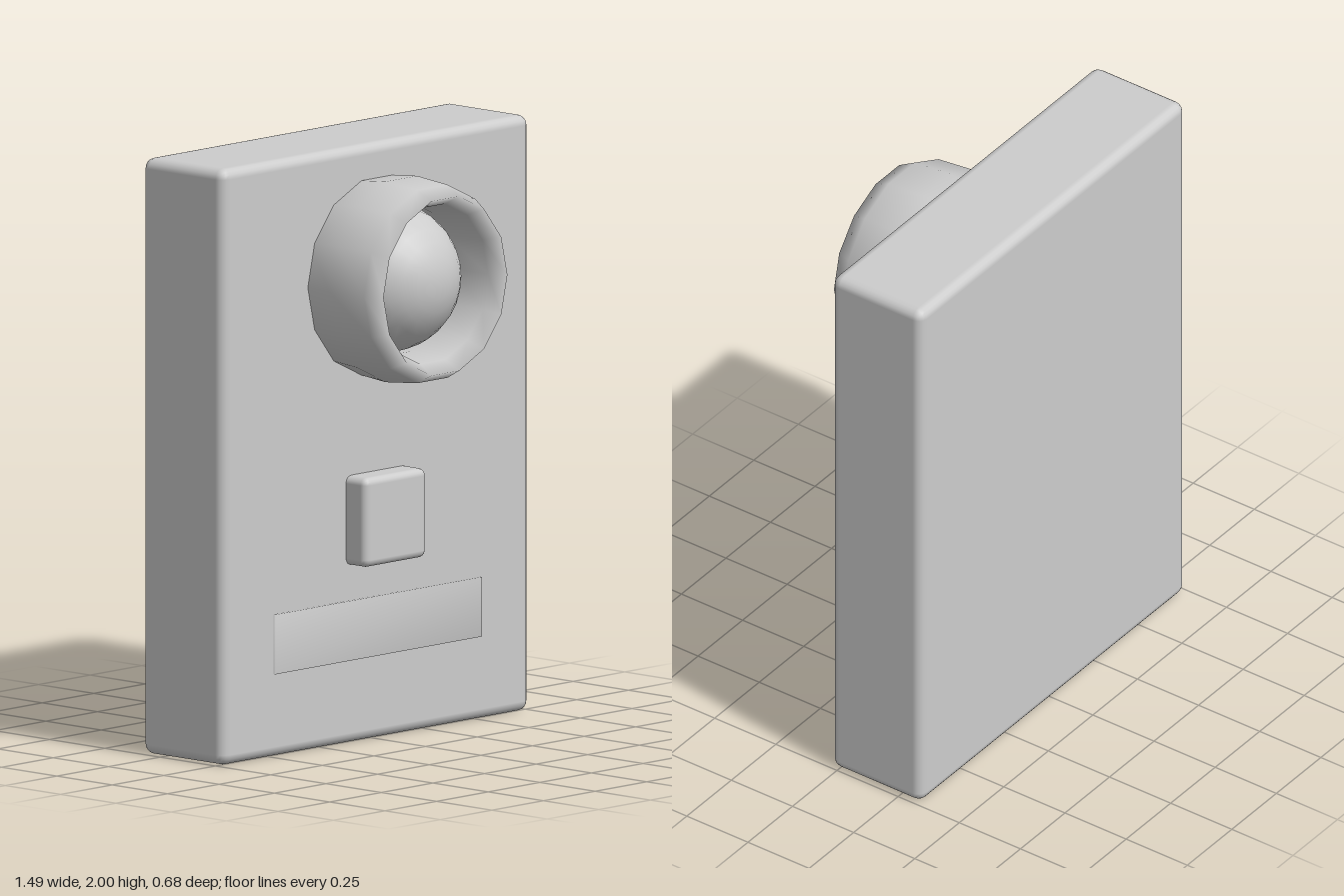
import * as THREE from 'three';
import { mergeVertices } from 'three/addons/utils/BufferGeometryUtils.js';
import { RoundedBoxGeometry } from 'three/addons/geometries/RoundedBoxGeometry.js';

export function createModel() {
  const model = new THREE.Group();
  model.name = 'doorIntercom';
  const grey = new THREE.MeshStandardMaterial({ color: 0xcccccc });
  grey.name = 'lightGrey';

  const add = (name, geometry, x, y, z) => {
    const mesh = new THREE.Mesh(geometry, grey);
    mesh.name = name;
    mesh.position.set(x, y, z);
    model.add(mesh);
    return mesh;
  };

  // Housing: upright slab with softened edges
  add('housing', new RoundedBoxGeometry(1.49, 2, 0.37, 2, 0.035), 0, 1, -0.155);

  // Lens hood: low-poly torus stretched along its axis
  const hood = new THREE.TorusGeometry(0.3, 0.045, 8, 14);
  hood.scale(1, 1, 0.2 / 0.045);
  add('lensHood', hood, 0, 1.555, 0.14);

  // Lens: dome recessed behind the hood's rim
  const lens = new THREE.SphereGeometry(0.25, 24, 16);
  lens.rotateX(Math.PI / 2);
  add('lens', lens, 0, 1.555, 0.07);

  // Call button: small rounded block, partly sunk into the housing
  add('callButton', new RoundedBoxGeometry(0.3, 0.3, 0.12, 2, 0.025), 0, 0.75, 0.06);

  // Name plate: thin box with normals blended across its corners
  let plate = new THREE.BoxGeometry(1, 0.2, 0.02);
  plate.deleteAttribute('normal');
  plate.deleteAttribute('uv');
  plate = mergeVertices(plate);
  plate.computeVertexNormals();
  add('namePlate', plate, 0, 0.38, 0.028);

  return model;
}
